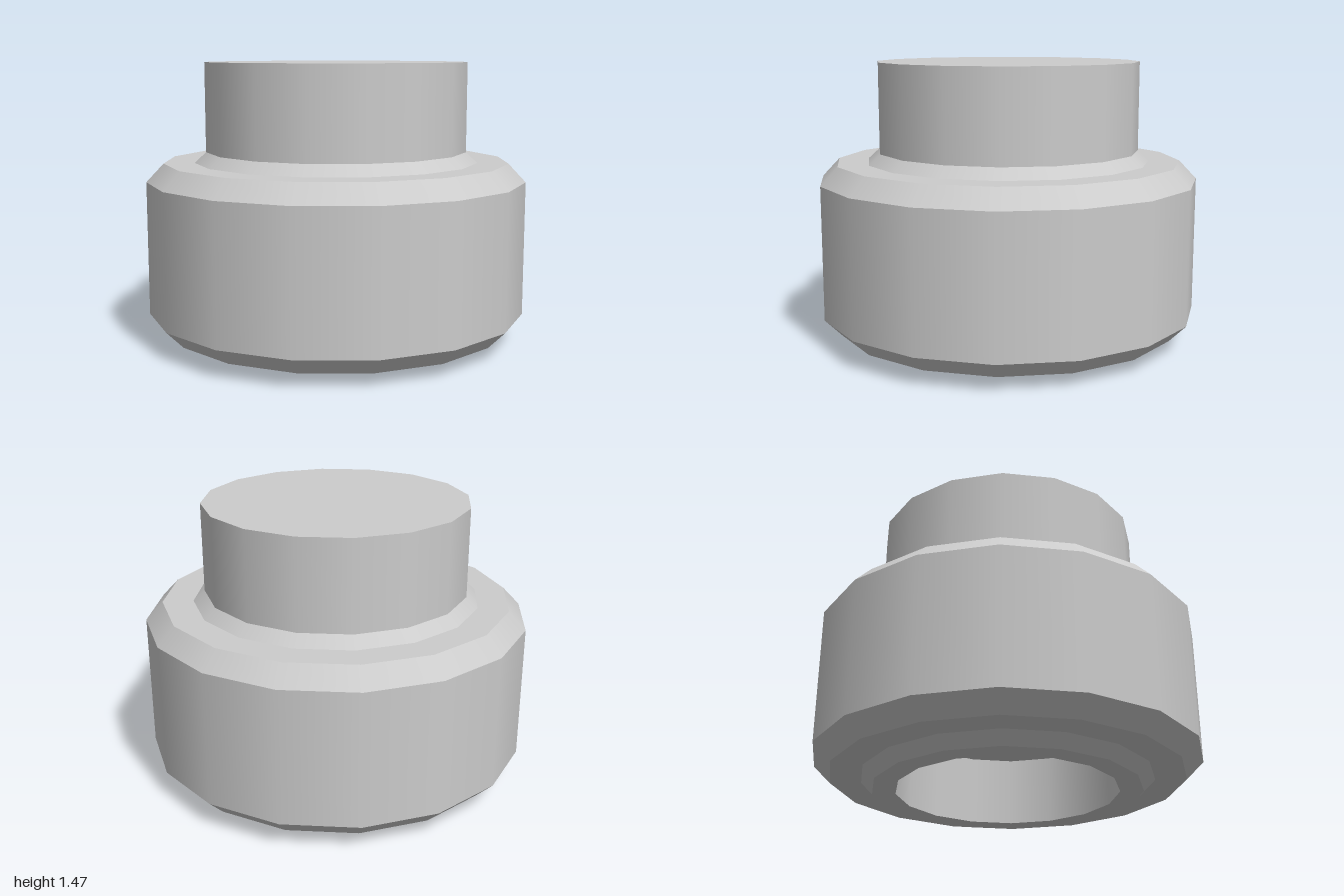
import * as THREE from 'three';
import { mergeGeometries } from 'three/addons/utils/BufferGeometryUtils.js';

const SIDES = 16;

// Turned part: smooth around the axis, sharp at every profile corner.
function turned(name, profile, material) {
  const bands = [];
  for (let i = 0; i < profile.length - 1; i++) {
    const ends = [profile[i], profile[i + 1]].map(([r, y]) => new THREE.Vector2(r, y));
    bands.push(new THREE.LatheGeometry(ends, SIDES));
  }
  const mesh = new THREE.Mesh(mergeGeometries(bands), material);
  mesh.name = name;
  return mesh;
}

export function createModel() {
  const model = new THREE.Group();
  model.name = 'roundFitting';
  const grey = new THREE.MeshStandardMaterial({ color: 0xcccccc });

  // Blind hole and chamfered lip underneath
  model.add(turned('bottomSocket', [
    [0, 0.365], [0.57, 0.365], [0.57, 0], [0.69, 0], [0.75, 0.06],
  ], grey));

  // Wide drum with chamfered rims
  model.add(turned('drum', [
    [0.75, 0.06], [0.91, 0.06], [1, 0.15], [1, 0.85], [0.91, 0.945], [0.75, 0.945],
  ], grey));

  // Solid stem rising from a small chamfered collar
  model.add(turned('topStem', [
    [0.75, 0.945], [0.69, 1], [0.69, 1.465], [0, 1.465],
  ], grey));

  return model;
}
